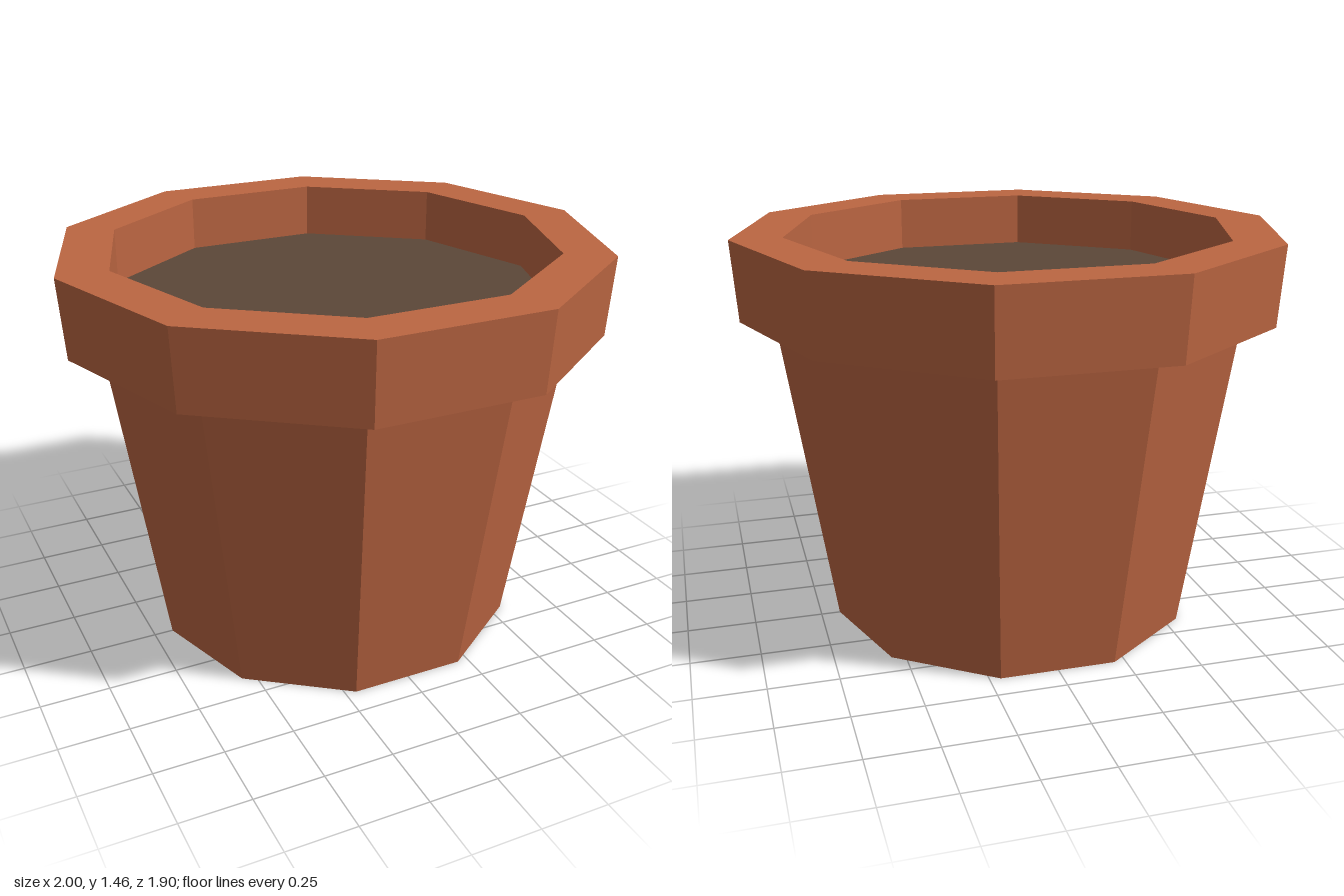
import * as THREE from 'three';

const SIDES = 10;
const terracotta = new THREE.MeshStandardMaterial({ name: 'terracotta', color: 0xbc6642 });
const soilBrown = new THREE.MeshStandardMaterial({ name: 'soilBrown', color: 0x5c4738 });

// Ten-sided faceted lathe with a corner on the +x axis
function facetedLathe(name, profile, material) {
  const points = profile.map(([r, y]) => new THREE.Vector2(r, y));
  const geometry = new THREE.LatheGeometry(points, SIDES, Math.PI / SIDES).toNonIndexed();
  geometry.computeVertexNormals();
  const mesh = new THREE.Mesh(geometry, material);
  mesh.name = name;
  return mesh;
}

export function createModel() {
  const pot = new THREE.Group();
  pot.name = 'flowerPot';

  // Tapered body with a closed base
  pot.add(facetedLathe('body', [[0, 0], [0.68, 0], [0.86, 1.17]], terracotta));

  // Overhanging rim: underside, outer wall, top and inner wall
  pot.add(facetedLathe('rim',
    [[0.86, 1.17], [0.98, 1.17], [1, 1.46], [0.815, 1.46], [0.815, 1.26]], terracotta));

  // Soil surface set below the rim
  const soil = new THREE.Mesh(new THREE.CircleGeometry(0.815, SIDES).rotateX(-Math.PI / 2), soilBrown);
  soil.name = 'soil';
  soil.position.y = 1.26;
  pot.add(soil);

  return pot;
}
